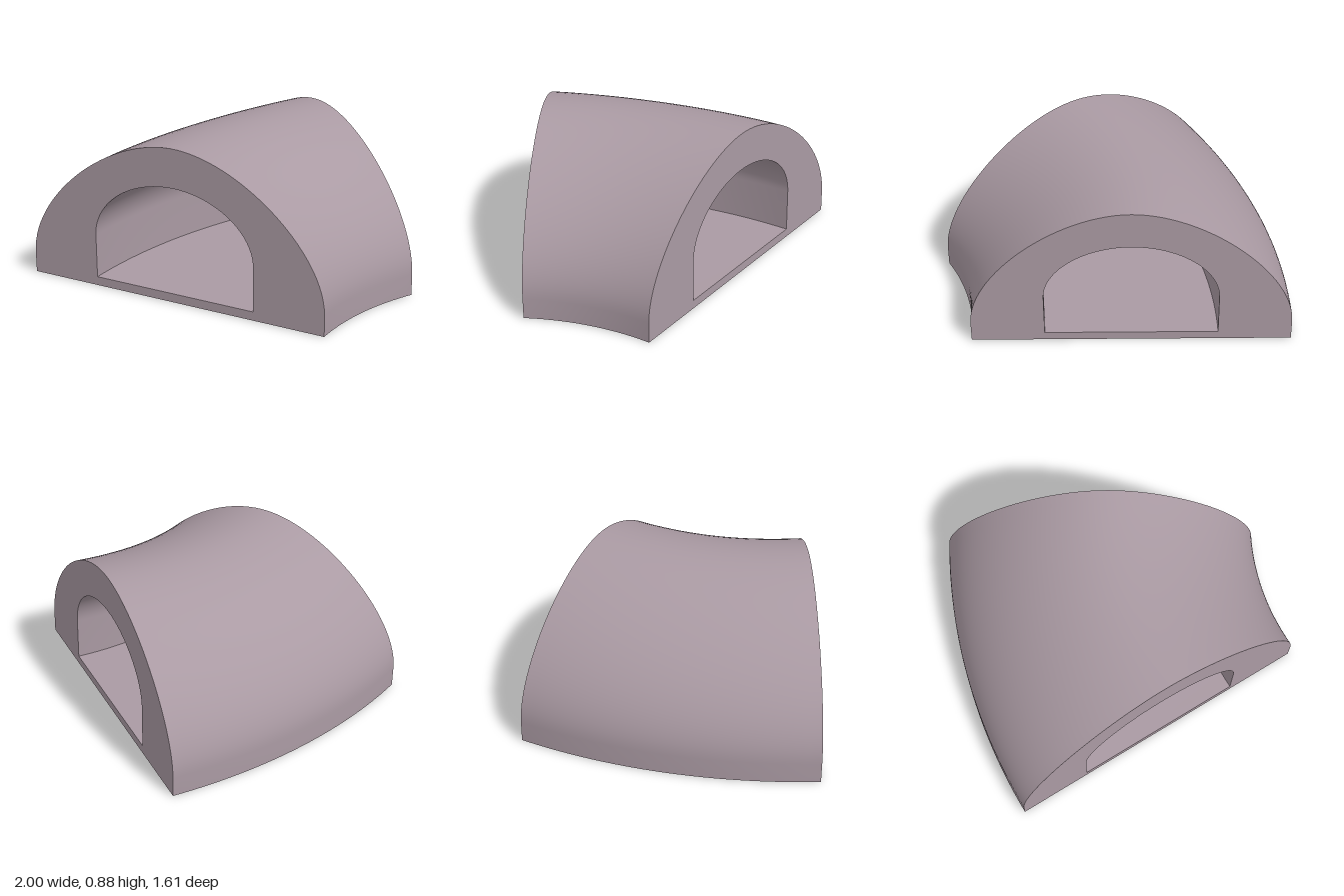
import * as THREE from 'three';
import { toCreasedNormals } from 'three/addons/utils/BufferGeometryUtils.js';

// Traces an upright arch: straight sides, then a rounded crown
function traceArch(path, half, base, spring, top, k) {
  const rise = top - spring;
  path.moveTo(-half, base);
  path.lineTo(half, base);
  path.lineTo(half, spring);
  path.bezierCurveTo(half, spring + k * rise, k * half, top, 0, top);
  path.bezierCurveTo(-k * half, top, -half, spring + k * rise, -half, spring);
  path.lineTo(-half, base);
  return path;
}

export function createModel() {
  const group = new THREE.Group();
  group.name = 'curvedTunnel';
  const stone = new THREE.MeshStandardMaterial({ color: 0xaa9aa3 });
  stone.name = 'mauve stone';

  // Cross-section with the passage cut out
  const section = traceArch(new THREE.Shape(), 0.905, 0, 0.12, 0.875, 0.45);
  section.holes.push(traceArch(new THREE.Path(), 0.49, 0.05, 0.3, 0.655, 0.54));
  const geometry = new THREE.ExtrudeGeometry(section, {
    depth: 1, steps: 24, curveSegments: 28, bevelEnabled: false,
  });

  // Sweep the straight tunnel through 30 degrees, with a slight sag halfway
  const pivotX = 2.212, pivotZ = 0.8, radius = 2.307, bend = Math.PI / 6;
  const p = geometry.attributes.position;
  for (let i = 0; i < p.count; i++) {
    const t = 1 - p.getZ(i);
    const r = radius - p.getX(i);
    const y = p.getY(i) * (1 - 0.013 * Math.sin(Math.PI * t));
    p.setXYZ(i, pivotX - r * Math.cos(bend * t), y, pivotZ - r * Math.sin(bend * t));
  }

  const tunnel = new THREE.Mesh(toCreasedNormals(geometry, 0.6), stone);
  tunnel.name = 'tunnelShell';
  group.add(tunnel);
  return group;
}
